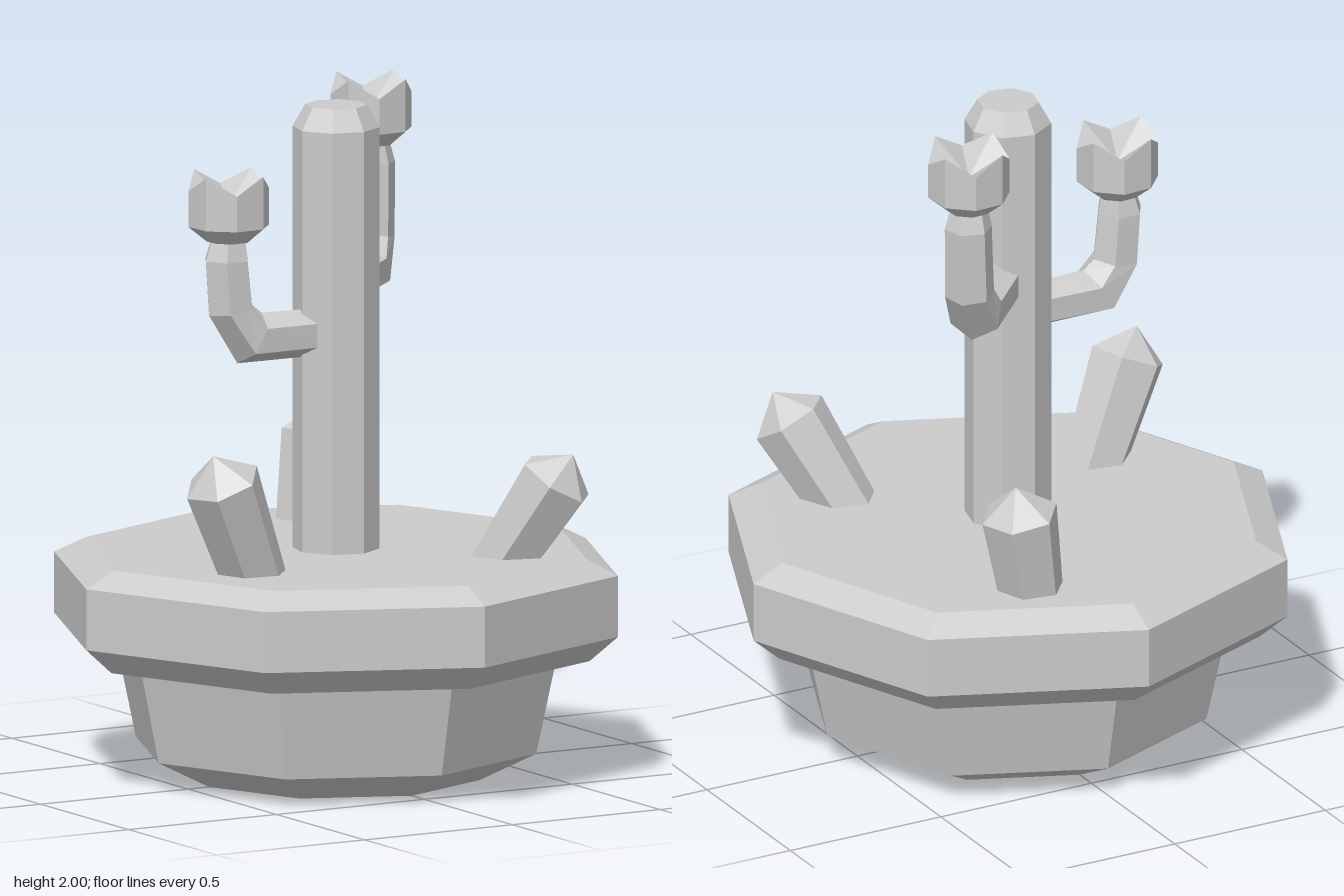
import * as THREE from 'three';

const material = new THREE.MeshStandardMaterial({ color: 0xcccccc, flatShading: true });
const deg = Math.PI / 180;

function add(parent, name, geometry) {
  const mesh = new THREE.Mesh(geometry, material);
  mesh.name = name;
  parent.add(mesh);
  return mesh;
}

// Faceted solid of revolution; profile is [radius, height] from bottom to top
const lathe = (profile, sides, turn = 0) =>
  new THREE.LatheGeometry(profile.map(([r, y]) => new THREE.Vector2(r, y)), sides, turn);

// Skin a stack of equal-sized rings of points; one-point end caps close it
function loft(rings, startCap, endCap) {
  const n = rings[0].length;
  const pos = [];
  const tri = (a, b, c) => pos.push(...a, ...b, ...c);
  for (let i = 0; i < n; i++) {
    const k = (i + 1) % n;
    tri(startCap, rings[0][k], rings[0][i]);
    for (let j = 0; j + 1 < rings.length; j++) {
      const lo = rings[j], hi = rings[j + 1];
      tri(lo[i], lo[k], hi[k]);
      tri(lo[i], hi[k], hi[i]);
    }
    const last = rings[rings.length - 1];
    tri(last[i], last[k], endCap);
  }
  const geometry = new THREE.BufferGeometry();
  geometry.setAttribute('position', new THREE.Float32BufferAttribute(pos, 3));
  geometry.computeVertexNormals();
  return geometry;
}

// Bent six-sided arm growing along +x and then up; stations are [x, y, heading, radius]
function armGeometry(stations) {
  const rings = stations.map(([x, y, heading, r]) => {
    const h = heading * deg;
    return Array.from({ length: 6 }, (_, i) => {
      const a = (i * 60) * deg;
      const s = r * Math.cos(a);
      return [x - s * Math.sin(h), y + s * Math.cos(h), r * Math.sin(a)];
    });
  });
  const first = stations[0], last = stations[stations.length - 1];
  return loft(rings, [first[0], first[1], 0], [last[0], last[1], 0]);
}

// Cup-shaped bloom with four pointed petals and a hollow centre
function flowerGeometry() {
  const ring = (r, y, peak = 0) => Array.from({ length: 8 }, (_, i) => {
    const a = (26 + i * 45) * deg;
    return [r * Math.sin(a), y + (i % 2 ? 0 : peak), r * Math.cos(a)];
  });
  return loft([ring(0.065, 0), ring(0.12, 0.045), ring(0.12, 0.15, 0.05)], [0, 0, 0], [0, 0.1, 0]);
}

export function createModel() {
  const model = new THREE.Group();
  model.name = 'pottedCactus';

  // Pot with a chamfered foot, and an overhanging rim that is hollow below
  add(model, 'potBody', lathe([[0, 0], [0.43, 0], [0.6, 0.085], [0.66, 0.365], [0.71, 0.6]], 8));
  add(model, 'potRim', lathe([
    [0, 0.58], [0.72, 0.58], [0.72, 0.365], [0.76, 0.365], [0.845, 0.44],
    [0.845, 0.62], [0.75, 0.667], [0, 0.667],
  ], 8));

  // Main stem
  add(model, 'stem', lathe([[0, 0.6], [0.127, 0.6], [0.127, 1.91], [0.09, 1.975], [0, 1.975]], 8, 9 * deg));

  // Two arms, each carrying a flower
  const arms = [
    { turn: 180, out: 0, lift: 0, stretch: 0 },
    { turn: 44, out: 0.025, lift: 0.125, stretch: 0.065 },
  ];
  for (const { turn, out, lift, stretch } of arms) {
    const arm = add(model, 'arm', armGeometry([
      [0.07, 1.31 + lift, 0, 0.07],
      [0.293 + out, 1.312 + lift, 30, 0.082],
      [0.357 + out, 1.4 + lift, 82, 0.073],
      [0.37 + out, 1.55 + lift + stretch, 90, 0.07],
      [0.365 + out, 1.61 + lift + stretch, 90, 0.055],
    ]));
    arm.rotation.y = turn * deg;
    const flower = add(model, 'flower', flowerGeometry());
    const reach = 0.363 + out;
    flower.position.set(reach * Math.cos(turn * deg), 1.605 + lift + stretch, -reach * Math.sin(turn * deg));
  }

  // Leaning pointed crystals: base point on the soil and tip
  const crystals = [
    [[-0.42, 0.667, 0.23], [-0.58, 1.03, 0.275]],
    [[0.2, 0.667, -0.495], [0.26, 1.0, -0.515]],
    [[0.37, 0.667, 0.35], [0.51, 0.97, 0.49]],
  ];
  const up = new THREE.Vector3(0, 1, 0);
  for (const [from, to] of crystals) {
    const base = new THREE.Vector3(...from);
    const axis = new THREE.Vector3(...to).sub(base);
    const h = axis.length();
    const crystal = add(model, 'crystal',
      lathe([[0, -0.06], [0.095, -0.06], [0.115, h - 0.09], [0, h]], 6, 20 * deg));
    crystal.position.copy(base);
    crystal.quaternion.setFromUnitVectors(up, axis.normalize());
  }

  return model;
}
